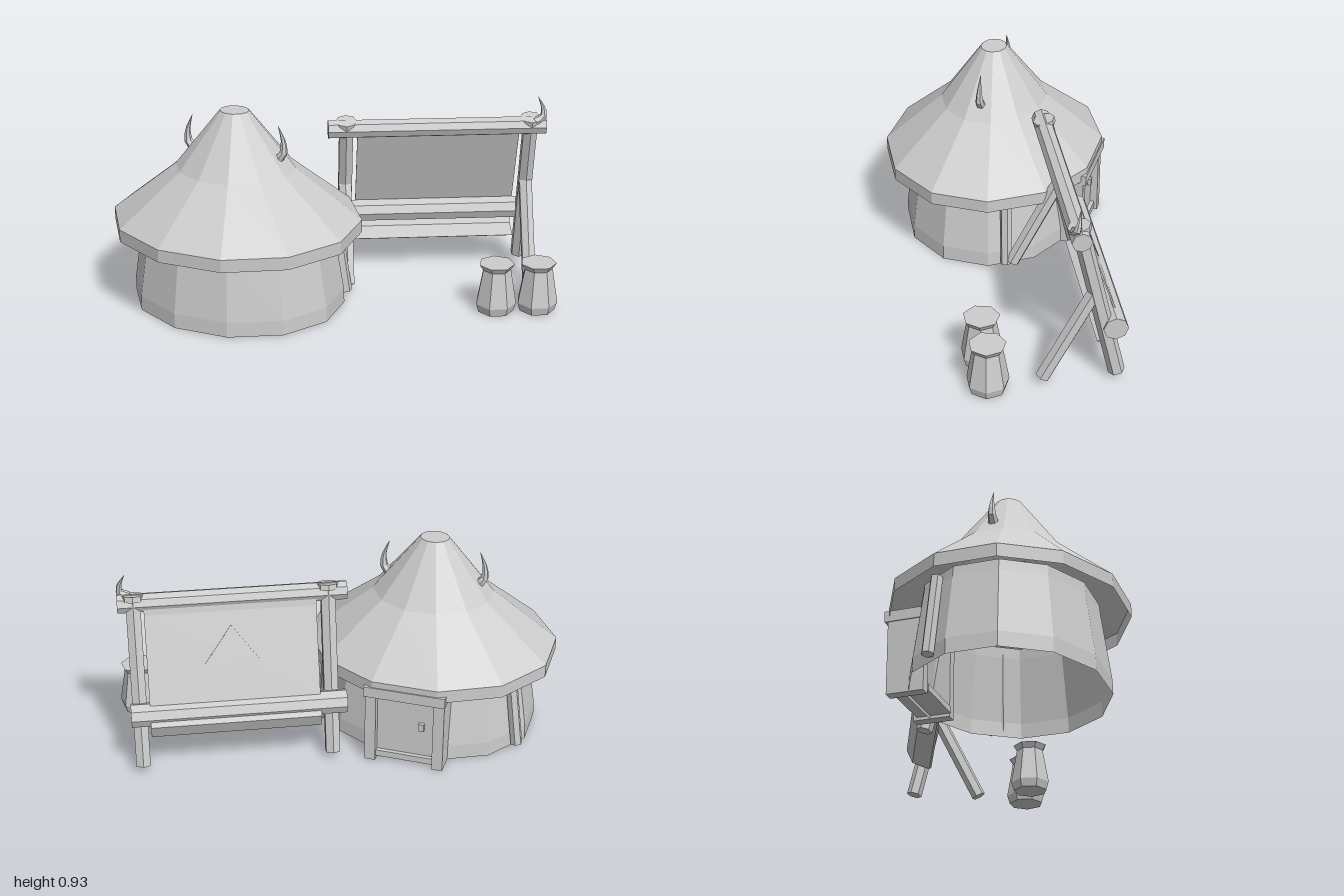
import * as THREE from 'three';

const stone = new THREE.MeshStandardMaterial({ color: 0xcccccc, flatShading: true, side: THREE.DoubleSide });
stone.name = 'plain grey';

const V = (x, y, z) => new THREE.Vector3(x, y, z);

function add(parent, name, geometry, x = 0, y = 0, z = 0) {
  const mesh = new THREE.Mesh(geometry, stone);
  mesh.name = name;
  mesh.position.set(x, y, z);
  parent.add(mesh);
  return mesh;
}

function box(parent, name, w, h, d, x, y, z) {
  return add(parent, name, new THREE.BoxGeometry(w, h, d), x, y, z);
}

// Straight log between two points
function log(parent, name, a, b, rTop, rBottom, sides) {
  const dir = b.clone().sub(a);
  const mesh = add(parent, name, new THREE.CylinderGeometry(rTop, rBottom, dir.length(), sides));
  mesh.position.copy(a).add(b).multiplyScalar(0.5);
  mesh.quaternion.setFromUnitVectors(V(0, 1, 0), dir.normalize());
  return mesh;
}

// Curved horn: a tube whose rings shrink towards the tip
function horn(parent, name, points, radius) {
  const curve = new THREE.CatmullRomCurve3(points);
  const steps = 6, sides = 6;
  const geo = new THREE.TubeGeometry(curve, steps, radius, sides);
  const pos = geo.attributes.position;
  for (let i = 0; i < pos.count; i++) {
    const t = Math.floor(i / (sides + 1)) / steps;
    const c = curve.getPointAt(t);
    const p = V().fromBufferAttribute(pos, i).sub(c).multiplyScalar(1 - 0.97 * t).add(c);
    pos.setXYZ(i, p.x, p.y, p.z);
  }
  return add(parent, name, geo);
}

function lathe(profile, sides, phase = 0) {
  return new THREE.LatheGeometry(profile.map(([r, y]) => new THREE.Vector2(r, y)), sides, phase);
}

function makeHut() {
  const hut = new THREE.Group();
  hut.name = 'hut';
  hut.position.set(-0.433, 0, 0.21);

  // Oval twelve-sided wall and roof, open underneath
  const wall = add(hut, 'wall', lathe([[0.505, 0], [0.503, 0.07], [0.455, 0.37], [0.45, 0.42]], 12, Math.PI / 12));
  wall.scale.z = 0.855;
  const roof = add(hut, 'roof',
    lathe([[0.586, 0.36], [0.586, 0.42], [0.282, 0.658], [0.068, 0.925], [0, 0.925]], 12, Math.PI / 12));
  roof.scale.z = 0.892;

  for (const s of [-1, 1]) {
    horn(hut, 'roofHorn', [V(s * 0.19, 0.71, 0), V(s * 0.232, 0.735, 0), V(s * 0.238, 0.8, 0), V(s * 0.213, 0.875, 0)], 0.028);
    log(hut, 'wallPost', V(s * 0.465, 0.02, -0.195), V(s * 0.415, 0.39, -0.18), 0.028, 0.028, 6);
    box(hut, 'doorJamb', 0.05, 0.38, 0.17, s * 0.158, 0.19, -0.41);
  }
  // Doorway at the back
  box(hut, 'lintel', 0.375, 0.05, 0.18, 0, 0.365, -0.42);
  box(hut, 'doorSill', 0.27, 0.03, 0.16, 0, 0.03, -0.4);
  box(hut, 'door', 0.27, 0.33, 0.03, 0, 0.185, -0.445);
  box(hut, 'doorHandle', 0.025, 0.035, 0.02, -0.075, 0.2, -0.468);
  return hut;
}

function makeRack() {
  const rack = new THREE.Group();
  rack.name = 'hideRack';
  rack.position.set(-0.09, 0, -0.12);
  rack.rotation.y = THREE.MathUtils.degToRad(24.8);

  // Horizontal beams
  log(rack, 'topBeam', V(-0.02, 0.765, 0), V(1.0, 0.765, 0), 0.044, 0.044, 8);
  log(rack, 'lowerBeam', V(0, 0.285, -0.163), V(0.97, 0.285, -0.163), 0.055, 0.055, 8);

  // Leaning poles with front braces
  for (const u of [0.065, 0.93]) {
    const foot = V(u, 0.03, -0.18), top = V(u, 0.8, 0);
    log(rack, 'pole', foot, top, 0.037, 0.037, 6);
    log(rack, 'poleCap', V(u, 0.78, -0.004), V(u, 0.805, 0.002), 0.05, 0.05, 8);
    log(rack, 'brace', V(u, 0.035, 0.145), V(u, 0.465, -0.075), 0.034, 0.034, 6);
  }

  // Hide stretched behind the lower beam, its hem curling forward
  const profile = [[-0.03, 0.78], [-0.042, 0.72], [-0.175, 0.335], [-0.225, 0.25], [-0.195, 0.185], [-0.11, 0.155]];
  const u0 = 0.12, u1 = 0.885, thick = 0.01;
  const shape = new THREE.Shape();
  profile.forEach(([s, y], i) => (i ? shape.lineTo(s, y) : shape.moveTo(s, y)));
  [...profile].reverse().forEach(([s, y]) => shape.lineTo(s + thick, y + thick * 0.6));
  const hide = new THREE.ExtrudeGeometry(shape, { depth: u1 - u0, bevelEnabled: false });
  hide.rotateY(Math.PI / 2); // profile x becomes -z
  hide.scale(1, 1, -1);
  const index = [];
  for (let i = 0; i < hide.attributes.position.count; i += 3) index.push(i, i + 2, i + 1);
  hide.setIndex(index);
  add(rack, 'hide', hide, u0, 0, 0);

  // Diamond patch on the back of the hide
  const diamond = new THREE.Shape();
  [[0, 0.17], [0.125, 0], [0, -0.17], [-0.125, 0]].forEach(([x, y], i) => (i ? diamond.lineTo(x, y) : diamond.moveTo(x, y)));
  const patch = add(rack, 'diamondPatch', new THREE.ExtrudeGeometry(diamond, { depth: 0.006, bevelEnabled: false }),
    0.505, 0.5, -0.123);
  patch.rotation.x = Math.atan2(0.133, 0.385);

  horn(rack, 'rackHorn', [V(0.95, 0.79, 0.02), V(0.985, 0.815, 0.02), V(0.985, 0.85, 0.012), V(0.96, 0.905, 0)], 0.024);
  return rack;
}

export function createModel() {
  const model = new THREE.Group();
  model.name = 'hutCamp';
  model.add(makeHut(), makeRack());

  // Seven-sided jars
  for (const [x, z] of [[0.735, -0.08], [0.91, -0.16]]) {
    add(model, 'jar', lathe([[0, 0], [0.083, 0], [0.095, 0.04], [0.066, 0.208], [0.083, 0.235], [0, 0.235]], 7), x, 0, z);
  }
  return model;
}
